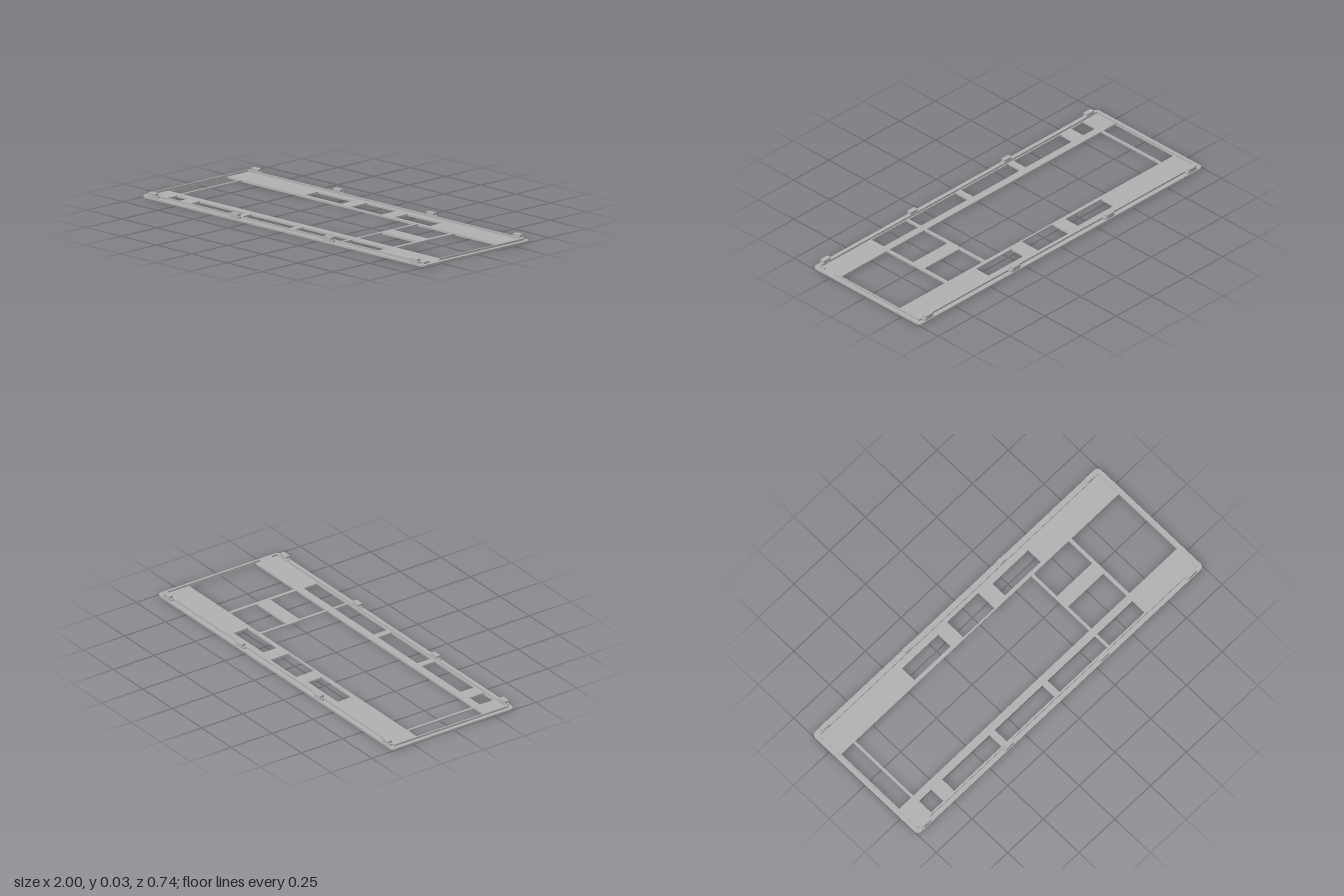
import * as THREE from 'three';

const grey = new THREE.MeshStandardMaterial({ color: 0xb0b0b0 });
grey.name = 'grey plastic';

// Rounded rectangle outline, centred on the origin
function roundedRect(w, d, r) {
  const s = new THREE.Shape();
  s.moveTo(w - r, -d);
  s.absarc(w - r, -d + r, r, -Math.PI / 2, 0);
  s.absarc(w - r, d - r, r, 0, Math.PI / 2);
  s.absarc(-w + r, d - r, r, Math.PI / 2, Math.PI);
  s.absarc(-w + r, -d + r, r, Math.PI, Math.PI * 1.5);
  s.closePath();
  return s;
}

// Rectangular opening given in x and z; the shape's y axis is -z
function opening([x0, x1, z0, z1]) {
  return new THREE.Path([
    new THREE.Vector2(x0, -z0), new THREE.Vector2(x1, -z0),
    new THREE.Vector2(x1, -z1), new THREE.Vector2(x0, -z1),
  ]);
}

// Flat slab standing from y0 to y1
function slab(name, shape, y0, y1) {
  const geo = new THREE.ExtrudeGeometry(shape, { depth: y1 - y0, bevelEnabled: false, curveSegments: 6 });
  geo.rotateX(-Math.PI / 2).translate(0, y0, 0);
  const mesh = new THREE.Mesh(geo, grey);
  mesh.name = name;
  return mesh;
}

function box(name, x0, x1, y0, y1, z0, z1) {
  const mesh = new THREE.Mesh(new THREE.BoxGeometry(x1 - x0, y1 - y0, z1 - z0), grey);
  mesh.position.set((x0 + x1) / 2, (y0 + y1) / 2, (z0 + z1) / 2);
  mesh.name = name;
  return mesh;
}

export function createModel() {
  const model = new THREE.Group();
  model.name = 'switchPlateFrame';

  // Base plate with its openings
  const plate = roundedRect(1, 0.372, 0.025);
  const middle = [-0.197, 0.21], front = [0.25, 0.335], back = [-0.304, -0.217];
  const openings = [
    [-0.972, -0.885, ...middle],
    [-0.872, 0.36, ...middle],
    [0.375, 0.622, -0.197, -0.032],
    [0.375, 0.622, 0.046, 0.21],
    [0.64, 0.972, ...middle],
    [-0.872, -0.785, ...front],
    [-0.71, -0.378, ...front],
    [-0.342, -0.008, ...front],
    [0.027, 0.36, ...front],
    [0.375, 0.622, ...front],
    [-0.438, -0.184, ...back],
    [-0.107, 0.112, -0.32, -0.206],
    [0.195, 0.446, ...back],
  ];
  plate.holes = openings.map(opening);
  model.add(slab('basePlate', plate, 0, 0.01));

  // Raised lip, with a gap in the left wall near the front
  const lip = new THREE.Group();
  lip.name = 'raisedLip';
  for (const s of [-1, 1]) {
    const z = s * 0.3445;
    lip.add(box(s > 0 ? 'frontLip' : 'backLip', -0.98, 0.98, 0.009, 0.02, z - 0.0035, z + 0.0035));
  }
  lip.add(box('rightLip', -0.98, -0.973, 0.009, 0.02, -0.342, 0.342));
  lip.add(box('leftLip', 0.973, 0.98, 0.009, 0.02, -0.342, 0.24));
  lip.add(box('leftLipEnd', 0.973, 0.98, 0.009, 0.02, 0.31, 0.342));
  model.add(lip);

  // Snap clips along both long edges
  for (const x of [-0.93, -0.35, 0.313, 0.927]) {
    for (const s of [-1, 1]) {
      const clip = new THREE.Group();
      clip.name = 'clip';
      clip.add(slab('clipFoot', roundedRect(0.036, 0.01, 0.008), 0.009, 0.02));
      clip.add(slab('clipPost', roundedRect(0.025, 0.0125, 0.003), 0.01, 0.033));
      clip.position.set(x, 0, s * 0.3555);
      model.add(clip);
    }
  }
  return model;
}
